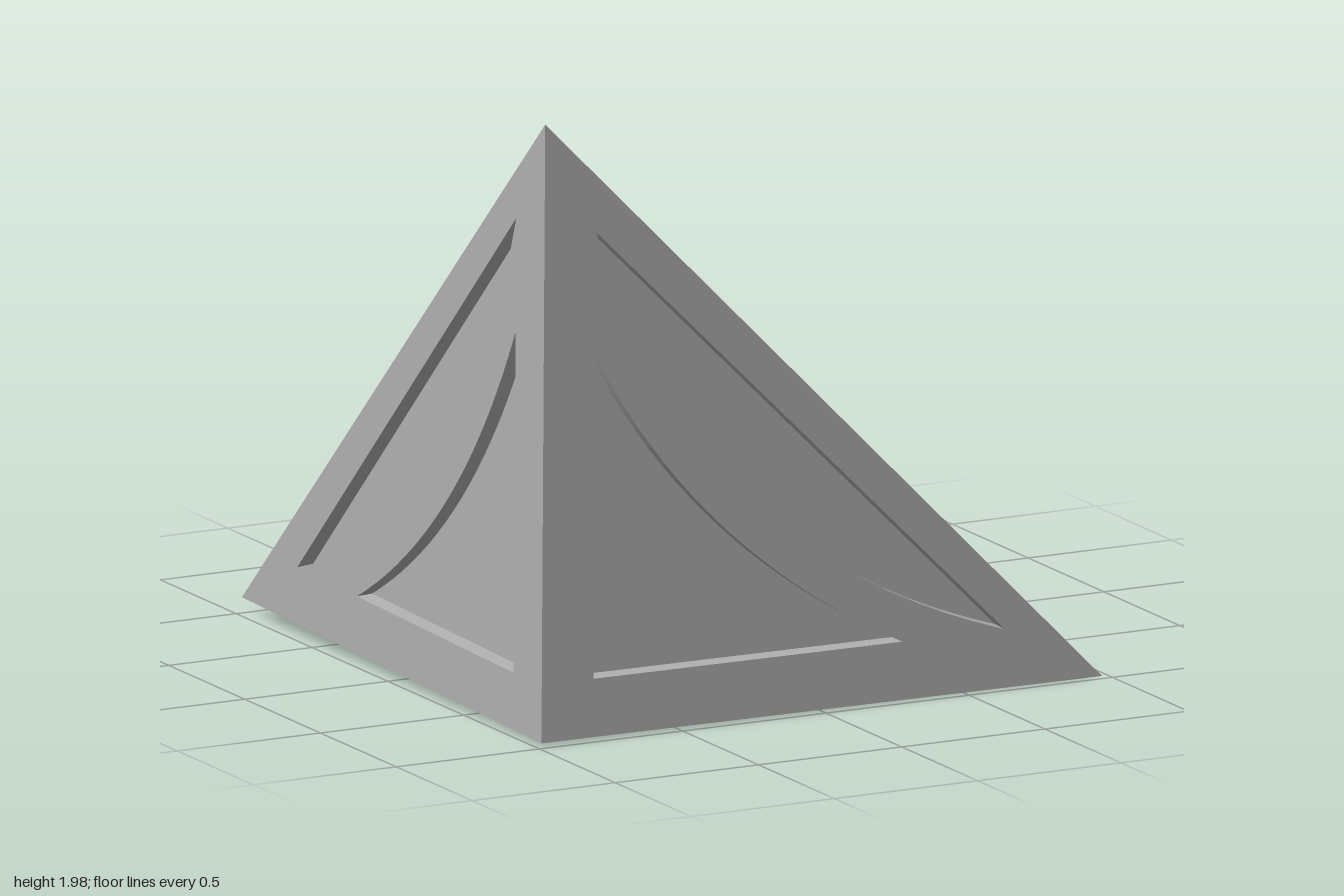
import * as THREE from 'three';

const V = (x, y, z) => new THREE.Vector3(x, y, z);
const sub = (a, b) => a.clone().sub(b);

// Corners of the tetrahedral corner block
const A = V(-0.98, 1.98, 1), B = V(0.98, 0, 0.97), C = V(-0.98, 0.05, -1), D = V(-0.98, 0.01, 0.975);
const LEG = 1.96, R = 1.6;

export function createModel() {
  const grey = new THREE.MeshStandardMaterial({ color: 0xb0b0b0 });
  grey.name = 'plain grey';
  const model = new THREE.Group();
  model.name = 'cornerBlock';

  // Face frame: two in-plane axes and the outward normal
  const makeFrame = (origin, e1, e2) => {
    const n = e1.clone().cross(e2).normalize();
    return new THREE.Matrix4().makeBasis(e1, e2, n).setPosition(origin);
  };

  const addMesh = (group, name, geometry, frame) => {
    const g = geometry.index ? geometry.toNonIndexed() : geometry;
    g.applyMatrix4(frame);
    g.computeVertexNormals();
    const mesh = new THREE.Mesh(g, grey);
    mesh.name = name;
    group.add(mesh);
  };

  const toVec = (loop) => loop.map(([x, y]) => new THREE.Vector2(x, y));

  // Flat area at height w, with optional holes
  const area = (group, name, frame, loop, w, holes = []) => {
    const shape = new THREE.Shape(toVec(loop));
    shape.holes = holes.map((h) => new THREE.Path(toVec(h)));
    addMesh(group, name, new THREE.ShapeGeometry(shape).translate(0, 0, w), frame);
  };

  // Wall from an outer loop to an inner loop of the same length
  const wall = (group, name, frame, from, w0, to, w1) => {
    const pos = [];
    from.forEach((p, i) => {
      const j = (i + 1) % from.length;
      const a = [...p, w0], b = [...from[j], w0], c = [...to[j], w1], d = [...to[i], w1];
      pos.push(...a, ...b, ...c, ...a, ...c, ...d);
    });
    const g = new THREE.BufferGeometry();
    g.setAttribute('position', new THREE.Float32BufferAttribute(pos, 3));
    addMesh(group, name, g, frame);
  };

  const curve = (p0, c, p1) => new THREE.QuadraticBezierCurve(
    new THREE.Vector2(...p0), new THREE.Vector2(...c), new THREE.Vector2(...p1),
  ).getPoints(20).map((p) => [p.x, p.y]);

  // Three right-angled faces, each with two pockets either side of a crescent
  const cornerPocket = [[0.18, 0.185], ...curve([1.26, 0.185], [0.54, 0.54], [0.18, 1.21])];
  const edgePocket = curve([0.18, 1.6], [0.525, 0.525], [1.62, 0.185]);
  const shrink = (loop, k) => {
    const cx = loop.reduce((s, p) => s + p[0], 0) / loop.length;
    const cy = loop.reduce((s, p) => s + p[1], 0) / loop.length;
    return loop.map(([x, y]) => [cx + (x - cx) * k, cy + (y - cy) * k]);
  };
  const sides = [['frontFace', B, A], ['sideFace', A, C], ['bottomFace', C, B]];
  for (const [name, p1, p2] of sides) {
    const group = new THREE.Group();
    group.name = name;
    const frame = makeFrame(D, sub(p1, D).divideScalar(LEG), sub(p2, D).divideScalar(LEG));
    area(group, 'facePanel', frame, [[0, 0], [LEG, 0], [0, LEG]], 0, [cornerPocket, edgePocket]);
    for (const [label, loop] of [['cornerPocket', cornerPocket], ['edgePocket', edgePocket]]) {
      const floor = shrink(loop, 0.99);
      wall(group, label + 'Wall', frame, loop, 0, floor, -0.05);
      area(group, label + 'Floor', frame, floor, -0.05);
    }
    model.add(group);
  }

  // Slanted face: raised plate, triangular recess, raised six-sided pad
  const slant = new THREE.Group();
  slant.name = 'slantedFace';
  const G = A.clone().add(B).add(C).divideScalar(3);
  const frame = makeFrame(G, sub(C, B).divideScalar(R * Math.sqrt(3)), sub(A, G).divideScalar(R));
  const polar = (r, deg) => [r * Math.cos(deg * Math.PI / 180), r * Math.sin(deg * Math.PI / 180)];
  const tri = (k) => [90, 210, 330].map((d) => polar(R * k, d));
  const hex = (r) => [90, 210, 330].flatMap((d) => [polar(r, d - 8.5), polar(r, d + 8.5)]);
  const top = 0.027, low = 0.006;

  area(slant, 'rim', frame, tri(1), 0, [tri(0.965)]);
  wall(slant, 'plateEdge', frame, tri(0.965), 0, tri(0.955), top);
  area(slant, 'plate', frame, tri(0.955), top, [tri(0.585)]);
  wall(slant, 'recessWall', frame, tri(0.585), top, tri(0.555), low);
  area(slant, 'recessFloor', frame, tri(0.555), low, [hex(0.58)]);
  wall(slant, 'padEdge', frame, hex(0.58), low, hex(0.555), top);
  area(slant, 'pad', frame, hex(0.555), top);
  model.add(slant);

  return model;
}
